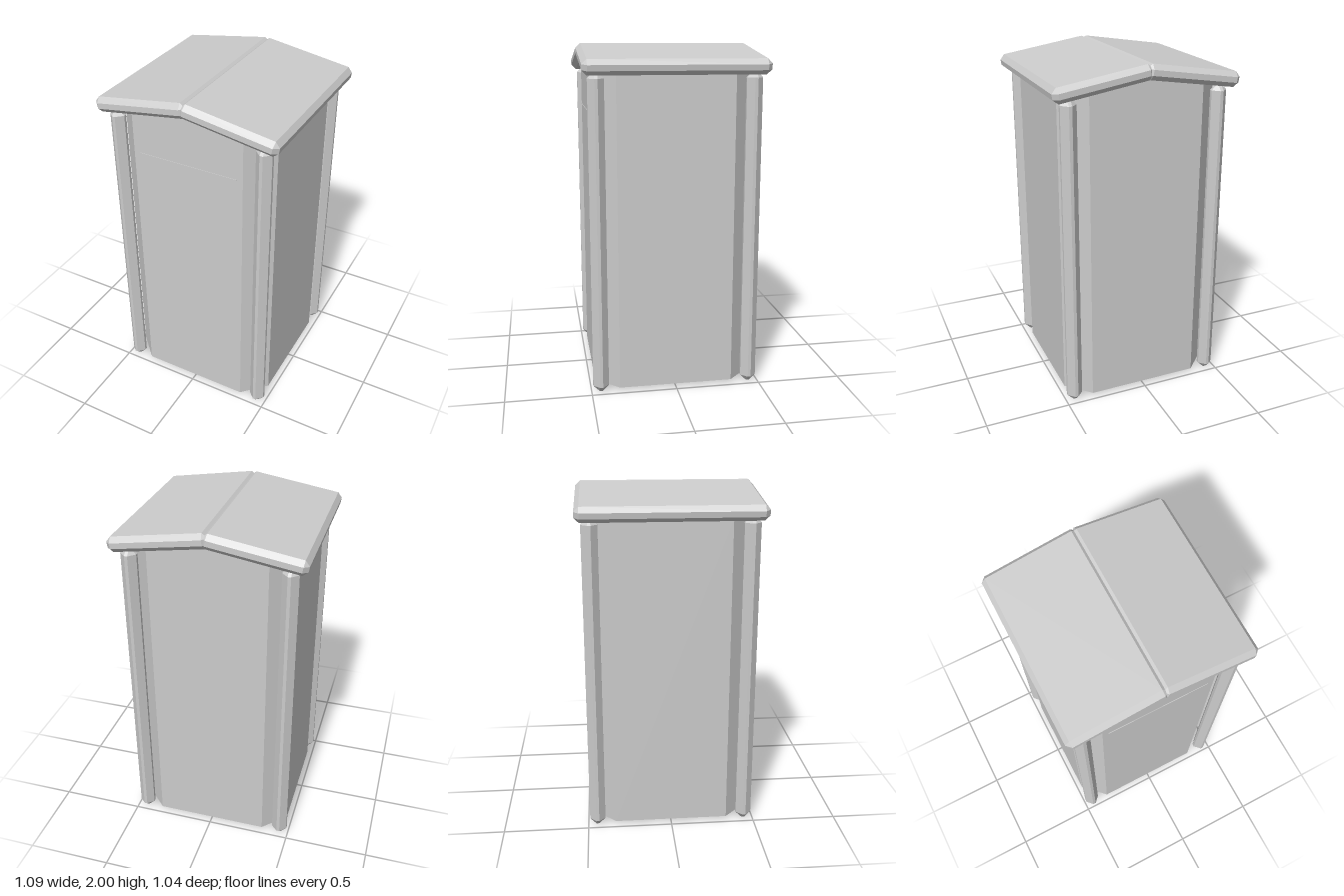
import * as THREE from 'three';
import { ConvexGeometry } from 'three/addons/geometries/ConvexGeometry.js';

const material = new THREE.MeshStandardMaterial({ color: 0xcccccc, flatShading: true, side: THREE.DoubleSide });
const SIGNS = [-1, 1];

// Box with flat chamfers of width b on every edge and corner
function chamferBox(w, h, d, b) {
  const x = w / 2, y = h / 2, z = d / 2, pts = [];
  for (const i of SIGNS) for (const j of SIGNS) for (const k of SIGNS) {
    pts.push(
      new THREE.Vector3(i * x, j * (y - b), k * (z - b)),
      new THREE.Vector3(i * (x - b), j * y, k * (z - b)),
      new THREE.Vector3(i * (x - b), j * (y - b), k * z));
  }
  return new ConvexGeometry(pts);
}

export function createModel() {
  const group = new THREE.Group();
  const add = (name, geometry, x = 0, y = 0, z = 0) => {
    const mesh = new THREE.Mesh(geometry, material);
    mesh.name = name;
    mesh.position.set(x, y, z);
    group.add(mesh);
    return mesh;
  };

  // Cabin body: square plan with cut corners, top following the gable
  const half = 0.47, inner = 0.335, pitch = 9 * Math.PI / 180, slope = Math.tan(pitch);
  const pts = [];
  for (const i of SIGNS) {
    for (const k of SIGNS) {
      for (const [x, z] of [[half, inner], [inner, half]]) {
        pts.push(new THREE.Vector3(i * x, 0.02, k * z), new THREE.Vector3(i * x, 1.915 - slope * x, k * z));
      }
    }
    pts.push(new THREE.Vector3(0, 1.915, i * half));
  }
  add('body', new ConvexGeometry(pts));

  // Corner posts, standing just clear of the cut corners
  const post = chamferBox(0.092, 1.85, 0.092, 0.037);
  for (const i of SIGNS) for (const k of SIGNS) {
    add(`${k > 0 ? 'front' : 'back'}${i > 0 ? 'Left' : 'Right'}Post`, post, i * 0.444, 0.925, k * 0.444);
  }

  // Two roof slabs overlapping at the ridge
  const slab = chamferBox(0.57, 0.088, 1.044, 0.028);
  for (const i of SIGNS) {
    const roof = add(i > 0 ? 'leftRoofSlab' : 'rightRoofSlab', slab, i * 0.262, 1.915, 0);
    roof.rotation.z = -i * pitch;
  }

  // Hairline ledge across the front wall
  add('frontLedge', new THREE.BoxGeometry(0.6, 0.002, 0.006), 0, 1.62, half);

  return group;
}
